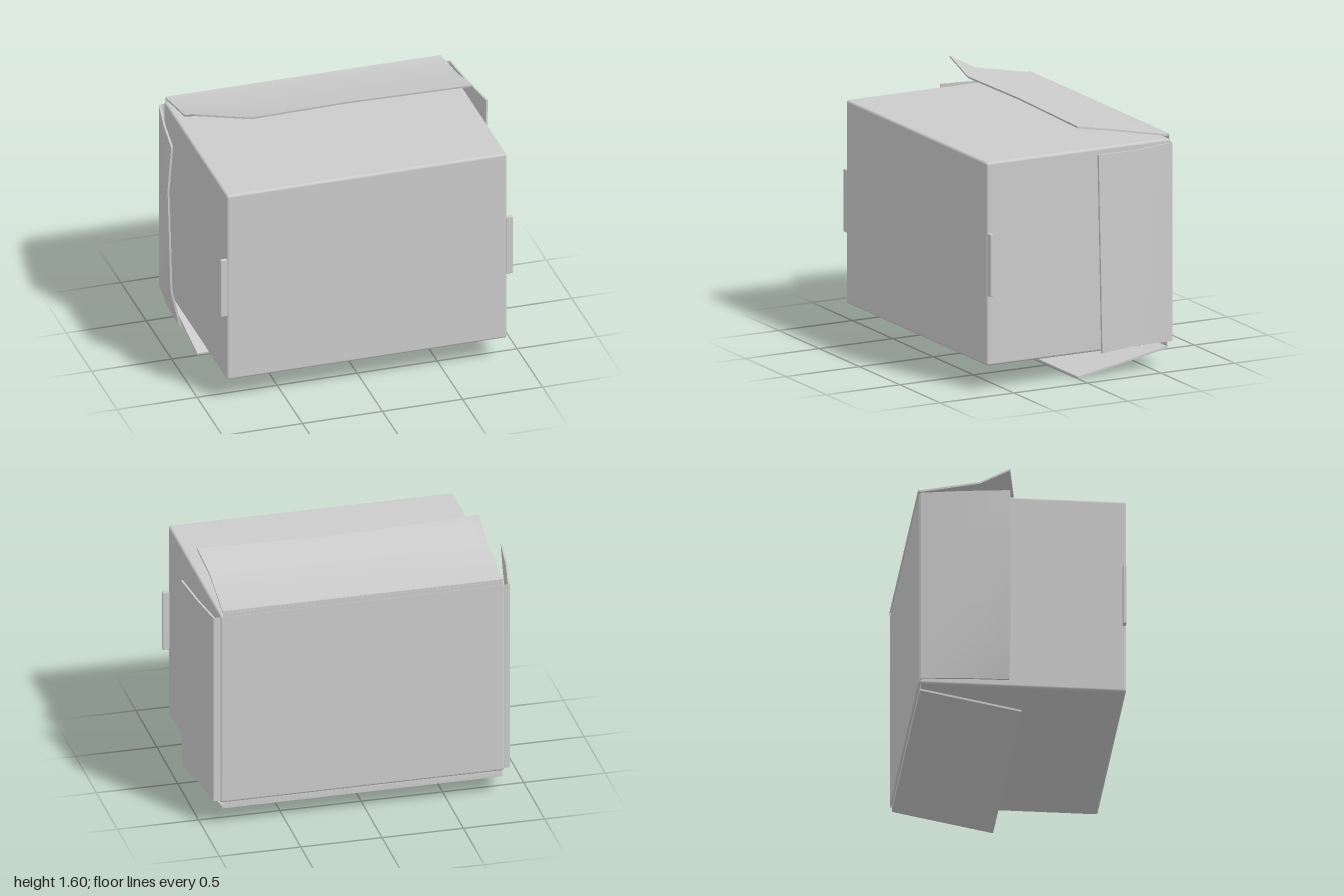
import * as THREE from 'three';
import { toCreasedNormals } from 'three/addons/utils/BufferGeometryUtils.js';
import { RoundedBoxGeometry } from 'three/addons/geometries/RoundedBoxGeometry.js';

const grey = new THREE.MeshStandardMaterial({ color: 0xcccccc });
const greyBoth = new THREE.MeshStandardMaterial({ color: 0xcccccc, side: THREE.DoubleSide });

// Thin bent sheet: rows of points run from the hinge to the free edge, thickened by an offset
function sheet(name, rows, offset) {
  const R = rows.length, C = rows[0].length, n = R * C;
  const pos = [], idx = [];
  for (const k of [1, 0]) {
    for (const row of rows) for (const p of row) pos.push(...p.map((v, i) => v + k * offset[i]));
  }
  const quad = (a, b, c, d) => idx.push(a, b, c, a, c, d);
  const at = (r, c) => r * C + c;
  for (let r = 0; r < R - 1; r++) {
    for (let c = 0; c < C - 1; c++) {
      const q = [at(r, c), at(r + 1, c), at(r + 1, c + 1), at(r, c + 1)];
      quad(...q);
      quad(...q.map((i) => i + n).reverse());
    }
  }
  // Rim around the sheet
  const rim = [];
  for (let r = 0; r < R - 1; r++) rim.push(at(r, 0));
  for (let c = 0; c < C - 1; c++) rim.push(at(R - 1, c));
  for (let r = R - 1; r > 0; r--) rim.push(at(r, C - 1));
  for (let c = C - 1; c > 0; c--) rim.push(at(0, c));
  rim.forEach((a, i) => {
    const b = rim[(i + 1) % rim.length];
    quad(a, a + n, b + n, b);
  });
  const g = new THREE.BufferGeometry();
  g.setAttribute('position', new THREE.Float32BufferAttribute(pos, 3));
  g.setIndex(idx);
  const mesh = new THREE.Mesh(toCreasedNormals(g, 0.5), greyBoth);
  mesh.name = name;
  return mesh;
}

export function createModel() {
  const group = new THREE.Group();

  // Main carton
  const body = new THREE.Mesh(new RoundedBoxGeometry(1.75, 1.25, 1.245, 3, 0.016), grey);
  body.name = 'boxBody';
  body.position.set(0.022, 0.78, 0.003);
  group.add(body);

  // Top flap with one curled corner
  const topX = [-0.84, -0.5, 0.1, 0.88];
  group.add(sheet('topFlap', [
    topX.map((x) => [x, 1.395, -0.622]),
    topX.map((x) => [x, 1.42, -0.622]),
    topX.map((x) => [x, 1.418, -0.6]),
    topX.map((x, i) => [i === 3 ? 0.866 : x, 1.488, -0.25]),
    [[-0.835, 1.585, -0.07], [-0.5, 1.538, -0.012], [0.1, 1.536, -0.03], [0.88, 1.538, 0]],
  ], [0, 0.012, 0.002]));

  // Bottom flap, folded down and forward
  const bottomX = [0.88, -0.84];
  group.add(sheet('bottomFlap', [
    bottomX.map((x) => [x, 0.165, -0.606]),
    bottomX.map((x) => [x, 0.126, -0.606]),
    bottomX.map((x) => [x, 0.122, -0.59]),
    bottomX.map((x) => [x, 0.012, 0]),
  ], [0, -0.012, -0.002]));

  // Side flap on +x, nearly straight
  const leftY = [1.39, 0.78, 0.17];
  group.add(sheet('leftFlap', [
    leftY.map((y) => [0.89, y, -0.61]),
    leftY.map((y) => [0.926, y, -0.61]),
    [[0.955, 1.38, -0.35], [0.955, 0.78, -0.35], [0.955, 0.18, -0.35]],
    [[0.988, 1.39, -0.075], [0.988, 0.78, -0.088], [0.988, 0.17, -0.1]],
  ], [0.012, 0, -0.002]));

  // Side flap on -x, with its free edge curled in at both ends
  const rightY = [0.17, 0.42, 1.1, 1.39];
  const curl = [-0.915, -0.97, -0.988, -0.965];
  group.add(sheet('rightFlap', [
    rightY.map((y) => [-0.845, y, -0.61]),
    rightY.map((y) => [-0.875, y, -0.608]),
    rightY.map((y, i) => [[-0.907, -0.925, -0.932, -0.927][i], y, -0.35]),
    rightY.map((y, i) => [curl[i], y, -0.08]),
  ], [-0.012, 0, -0.002]));

  // Small side tabs at the front edges
  for (const [name, x] of [['leftTab', 0.915], ['rightTab', -0.868]]) {
    const tab = new THREE.Mesh(new RoundedBoxGeometry(0.046, 0.385, 0.022, 2, 0.006), grey);
    tab.name = name;
    tab.position.set(x, 0.78, 0.612);
    group.add(tab);
  }
  return group;
}
